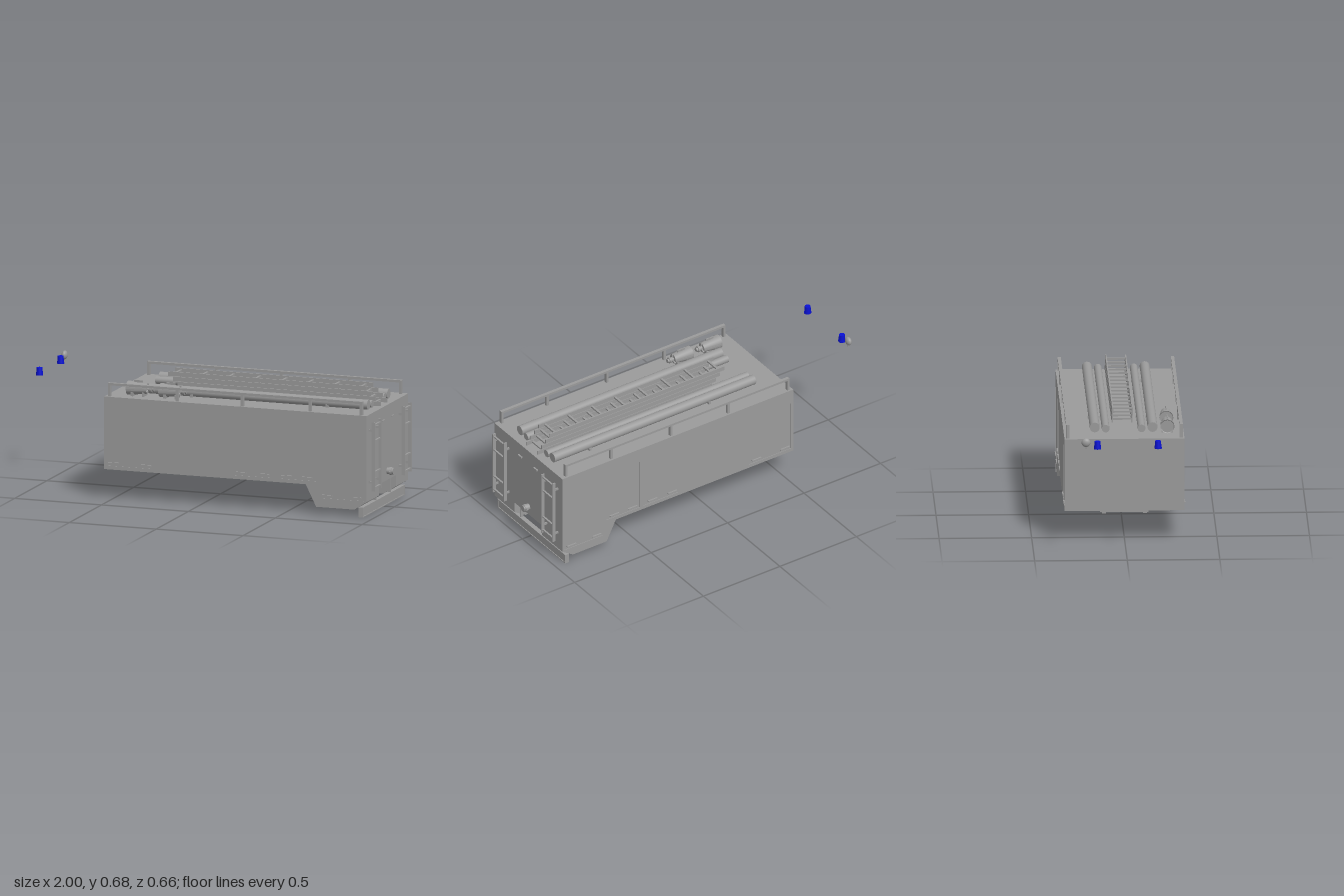
import * as THREE from 'three';
import { toCreasedNormals } from 'three/addons/utils/BufferGeometryUtils.js';

const grey = new THREE.MeshStandardMaterial({ color: 0x9b9b9b, side: THREE.DoubleSide });
const blue = new THREE.MeshStandardMaterial({ color: 0x0a12d4, side: THREE.DoubleSide });

function add(parent, name, geo, x = 0, y = 0, z = 0, mat = grey) {
  const m = new THREE.Mesh(geo, mat);
  m.name = name;
  m.position.set(x, y, z);
  parent.add(m);
  return m;
}

// Box given by its lower and upper corners
function box(parent, name, [x0, y0, z0], [x1, y1, z1]) {
  return add(parent, name, new THREE.BoxGeometry(x1 - x0, y1 - y0, z1 - z0),
    (x0 + x1) / 2, (y0 + y1) / 2, (z0 + z1) / 2);
}

// Cylinder lying along x
function rod(parent, name, r, x0, x1, y, z, sides = 24) {
  const g = new THREE.CylinderGeometry(r, r, x1 - x0, sides).rotateZ(Math.PI / 2);
  return add(parent, name, g, (x0 + x1) / 2, y, z);
}

const points = (pts) => pts.map(([x, y]) => new THREE.Vector2(x, y));
const shapeOf = (pts) => new THREE.Shape(points(pts));
const extrude = (shape, depth) => new THREE.ExtrudeGeometry(shape, { depth, bevelEnabled: false });

function body(g) {
  box(g, 'bodyCore', [-0.55, 0.16, -0.321], [0.96, 0.56, 0.321]);
  box(g, 'floorPlate', [-0.53, 0.147, -0.131], [0.96, 0.16, 0.131]);
  const skirt = [[0.61, 0.16], [0.67, 0.04], [0.89, 0.04], [0.96, 0.085], [0.96, 0.16]];
  const outline = [[-0.55, 0.16], ...skirt.slice(0, 4), [0.96, 0.56], [-0.55, 0.56]];

  // Side skins with shallow recessed locker doors
  const side = shapeOf(outline);
  const doors = [[-0.535, -0.26, 0.18], [0.2, 0.428, 0.18], [0.452, 0.67, 0.18], [0.697, 0.945, 0.09]];
  for (const [a, b, y] of doors) {
    side.holes.push(new THREE.Path(points([[a, y], [a, 0.475], [b, 0.475], [b, y]])));
  }
  for (const s of [1, -1]) {
    add(g, 'sideSkin', extrude(side, 0.004), 0, 0, s > 0 ? 0.32 : -0.324);
    add(g, 'rearSkirt', extrude(shapeOf(skirt), 0.19), 0, 0, s > 0 ? 0.131 : -0.321);
    box(g, 'chassisRail', [-0.53, 0.14, s * 0.111 - 0.011], [0.95, 0.16, s * 0.111 + 0.011]);
    for (const x of [-0.495, -0.31, 0.24, 0.37, 0.5, 0.62]) {
      add(g, 'doorHandle', new THREE.BoxGeometry(0.06, 0.006, 0.012), x, 0.197, s * 0.323);
    }
    for (const x of [0.735, 0.9]) {
      add(g, 'doorHandle', new THREE.BoxGeometry(0.06, 0.006, 0.012), x, 0.106, s * 0.323);
    }
    add(g, 'rearHandle', new THREE.BoxGeometry(0.012, 0.008, 0.033), 0.963, 0.486, s * 0.0745);
  }
}

function bumper(g) {
  // Framed bumper beam on two hangers
  box(g, 'bumperBeam', [0.915, 0, -0.324], [0.937, 0.055, 0.324]);
  const frame = shapeOf([[-0.324, 0], [0.324, 0], [0.324, 0.055], [-0.324, 0.055]]);
  frame.holes.push(new THREE.Path(points([[-0.319, 0.005], [-0.319, 0.05], [0.319, 0.05], [0.319, 0.005]])));
  add(g, 'bumperFrame', extrude(frame, 0.004).rotateY(Math.PI / 2), 0.937, 0, 0);
  for (const s of [1, -1]) {
    box(g, 'bumperHanger', [0.92, 0.05, s * 0.112 - 0.004], [0.937, 0.147, s * 0.112 + 0.004]);
  }
}

function rearLadder(g, z0) {
  const l = new THREE.Group();
  l.name = 'rearLadder';
  for (const z of [z0 - 0.0525, z0 + 0.0525]) {
    box(l, 'ladderRail', [0.977, 0.14, z - 0.0035], [0.997, 0.52, z + 0.0035]);
    for (const y of [0.19, 0.475]) {
      box(l, 'ladderBracket', [0.955, y - 0.006, z - 0.0035], [0.98, y + 0.006, z + 0.0035]);
    }
  }
  for (const y of [0.158, 0.244, 0.416, 0.503]) {
    add(l, 'ladderRung', new THREE.BoxGeometry(0.01, 0.007, 0.105), 0.987, y, z0);
  }
  g.add(l);
}

function roofRailing(g, z) {
  const r = new THREE.Group();
  r.name = 'roofRailing';
  for (const x of [-0.525, -0.135, 0.24, 0.63, 0.925]) {
    box(r, 'railingPost', [x - 0.007, 0.56, z - 0.009], [x + 0.007, 0.625, z + 0.009]);
  }
  box(r, 'railingBar', [-0.532, 0.622, z - 0.009], [0.932, 0.635, z + 0.009]);
  g.add(r);
}

function roofPipes(g, s) {
  rod(g, 'largeHosePipe', 0.027, -0.405, 0.91, 0.587, s * 0.156);
  rod(g, 'smallHosePipe', 0.021, -0.405, 0.91, 0.58, s * 0.097);
  for (const x of [-0.1, 0.68]) {
    box(g, 'pipeCradle', [x - 0.007, 0.56, s * 0.156 - 0.029], [x + 0.007, 0.575, s * 0.156 + 0.029]);
    box(g, 'pipeCradle', [x - 0.007, 0.56, s * 0.097 - 0.023], [x + 0.007, 0.574, s * 0.097 + 0.023]);
  }
}

// One section of the stacked roof ladder
function roofLadder(g, x0, y) {
  const l = new THREE.Group();
  l.name = 'roofLadder';
  for (const z of [0.051, -0.055]) box(l, 'ladderRail', [x0, y - 0.012, z - 0.0035], [x0 + 1.14, y + 0.012, z + 0.0035]);
  for (let i = 0; i < 8; i++) {
    add(l, 'ladderRung', new THREE.BoxGeometry(0.012, 0.009, 0.106), x0 + 0.035 + i * 0.152, y, -0.002);
  }
  g.add(l);
}

// Tapered foam nozzle with coupling, fins and carrying handle
function nozzle(g, x) {
  const n = new THREE.Group();
  n.name = 'foamNozzle';
  n.position.set(x, 0.6, 0.235);
  const pts = [[0.034, 0.004], [0.038, 0], [0.038, 0.012], [0.027, 0.112], [0.013, 0.113], [0.013, 0.128],
    [0.017, 0.13], [0.017, 0.14], [0.011, 0.14], [0.011, 0.15], [0, 0.15]];
  const geo = new THREE.LatheGeometry(points(pts), 24).rotateZ(-Math.PI / 2);
  add(n, 'nozzleBody', toCreasedNormals(geo, 0.5));
  const cap = add(n, 'nozzleMouth', new THREE.CircleGeometry(0.034, 24), 0.004);
  cap.rotation.y = -Math.PI / 2;
  for (let i = 0; i < 3; i++) {
    const fin = new THREE.BoxGeometry(0.008, 0.018, 0.005).translate(0, 0.021, 0);
    add(n, 'nozzleFin', fin, 0.115).rotation.x = i * Math.PI * 2 / 3;
  }
  add(n, 'nozzleHandle', new THREE.BoxGeometry(0.05, 0.012, 0.006), 0.06, 0.039);
  box(n, 'nozzleCradle', [0.025, -0.04, -0.032], [0.04, -0.018, 0.032]);
  box(n, 'nozzleCradle', [0.09, -0.04, -0.03], [0.1, -0.018, 0.03]);
  g.add(n);
}

// Beacons and search lamp ahead of the body
function frontLights(g) {
  for (const z of [0.167, -0.16]) {
    add(g, 'beacon', new THREE.CylinderGeometry(0.016, 0.0185, 0.036, 20), -0.98, 0.641, z, blue);
    add(g, 'beaconBase', new THREE.CylinderGeometry(0.02, 0.02, 0.006, 20), -0.98, 0.62, z, blue);
  }
  add(g, 'searchLamp', new THREE.SphereGeometry(0.024, 24, 16).scale(0.65, 1, 1), -0.98, 0.652, -0.222);
  add(g, 'searchLampStem', new THREE.CylinderGeometry(0.004, 0.004, 0.016, 10), -0.98, 0.625, -0.222);
}

// Water outlet in the rear wall
function rearOutlet(g) {
  rod(g, 'outletPipe', 0.018, 0.955, 0.998, 0.197, 0);
  rod(g, 'outletCollar', 0.021, 0.975, 0.99, 0.197, 0);
  const lug = add(g, 'outletLugs', new THREE.BoxGeometry(0.008, 0.009, 0.054), 0.983, 0.197, 0);
  lug.rotation.x = 0.2;
}

export function createModel() {
  const g = new THREE.Group();
  g.name = 'fireTruckBody';
  body(g);
  bumper(g);
  rearLadder(g, 0.2365);
  rearLadder(g, -0.229);
  roofRailing(g, 0.307);
  roofRailing(g, -0.305);
  for (const s of [1, -1]) roofPipes(g, s);
  for (let i = 0; i < 4; i++) roofLadder(g, -0.2 - i * 0.027, 0.573 + i * 0.0267);
  nozzle(g, -0.445);
  nozzle(g, -0.258);
  frontLights(g);
  rearOutlet(g);
  return g;
}
